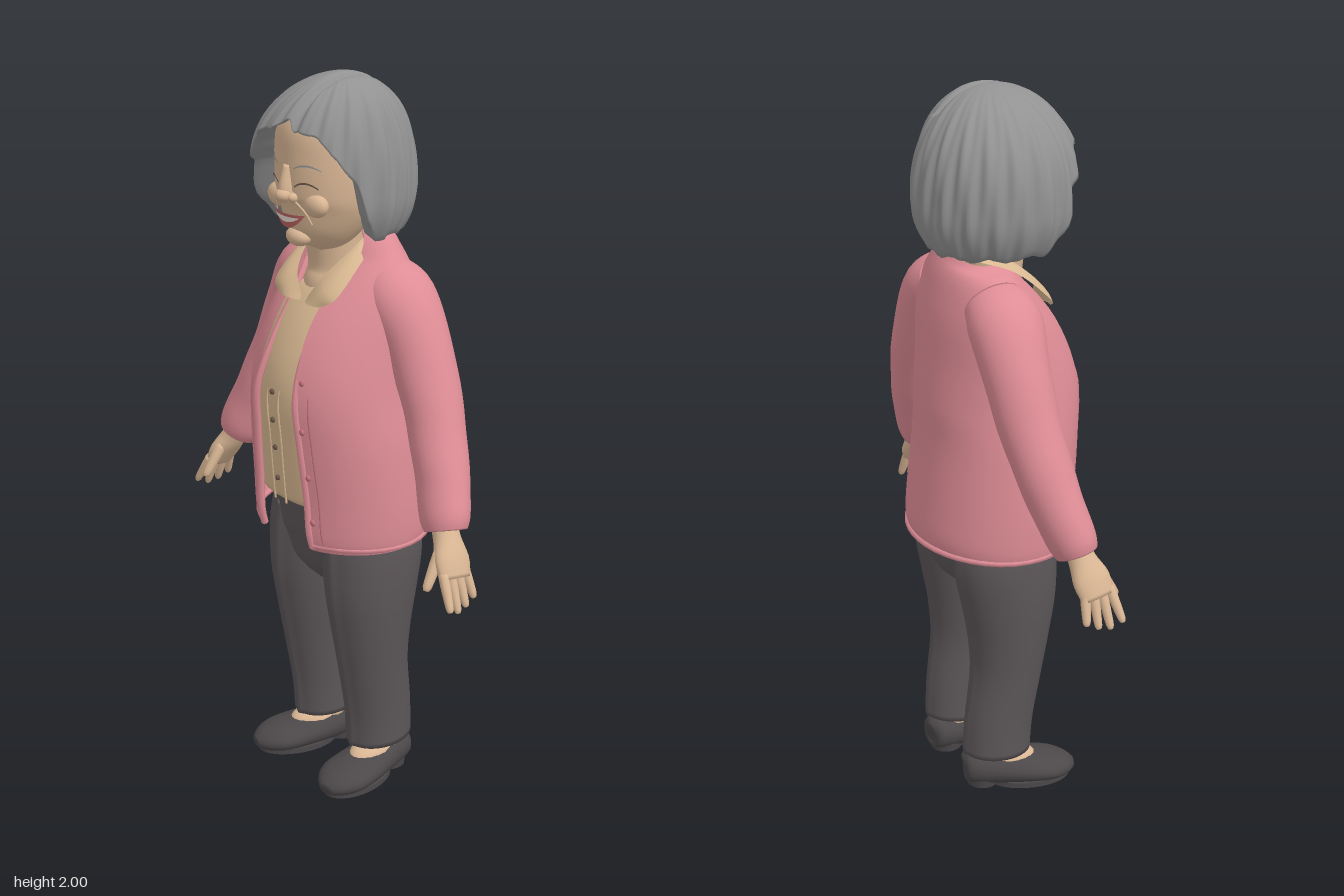
import * as THREE from 'three';
import { mergeVertices } from 'three/addons/utils/BufferGeometryUtils.js';

const mat = (name, color, double) => {
  const m = new THREE.MeshStandardMaterial({ color });
  m.name = name;
  if (double) m.side = THREE.DoubleSide;
  return m;
};

// Smoothly resample a table of rows to n+1 rows (Catmull-Rom in every column)
function resample(rows, n) {
  const last = rows.length - 1, out = [];
  for (let k = 0; k <= n; k++) {
    const f = (k / n) * last, i = Math.min(Math.floor(f), last - 1), t = f - i;
    const [a, b, c, d] = [i - 1, i, i + 1, i + 2].map(j => rows[Math.max(0, Math.min(last, j))]);
    out.push(b.map((_, q) => 0.5 * (2 * b[q] + (c[q] - a[q]) * t + (2 * a[q] - 5 * b[q] + 4 * c[q] - d[q]) * t * t
      + (3 * b[q] - a[q] - 3 * c[q] + d[q]) * t ** 3)));
  }
  return out;
}

// Linear lookup in a table sorted by column k
function lookup(rows, k, value) {
  let i = 0;
  while (i < rows.length - 2 && rows[i + 1][k] < value) i++;
  const a = rows[i], b = rows[i + 1];
  const t = THREE.MathUtils.clamp((value - a[k]) / (b[k] - a[k]), 0, 1);
  return a.map((q, j) => q + (b[j] - q) * t);
}

// Smooth surface from fn(u, v); faces outward when u runs right and v runs up
function grid(fn, nu, nv) {
  const pos = [], idx = [];
  for (let j = 0; j <= nv; j++) for (let i = 0; i <= nu; i++) pos.push(...fn(i / nu, j / nv, j));
  for (let j = 0; j < nv; j++) for (let i = 0; i < nu; i++) {
    const a = j * (nu + 1) + i, c = a + nu + 1;
    idx.push(a, a + 1, c + 1, a, c + 1, c);
  }
  let g = new THREE.BufferGeometry();
  g.setAttribute('position', new THREE.Float32BufferAttribute(pos, 3));
  g.setIndex(idx);
  g = mergeVertices(g, 1e-5);
  g.computeVertexNormals();
  return g;
}

// Elliptical loft through rows [x, y, z, sideRadius, frontRadius, frontGap]
function loft(rows, { nu = 32, nv = 24, cap = true, bump = () => 0 } = {}) {
  const d = resample(rows, nv);
  if (cap) {
    d.unshift([...d[0]]); d.push([...d[d.length - 1]]);
    for (const r of [d[0], d[d.length - 1]]) r[3] = r[4] = 0;
  }
  const n = d.length - 1;
  const frames = d.map((_, j) => {
    const a = d[Math.max(0, j - 2)], b = d[Math.min(n, j + 2)];
    const T = new THREE.Vector3(b[0] - a[0], b[1] - a[1], b[2] - a[2]).normalize();
    const U = new THREE.Vector3(T.y, -T.x, 0).normalize();
    return [U, new THREE.Vector3().crossVectors(U, T)];
  });
  return grid((u, v, j) => {
    const r = d[j], [U, W] = frames[j];
    const gap = r[5] ? Math.asin(Math.min(0.95, r[5] / r[3])) : 0;
    const th = r[5] ? gap + u * (2 * Math.PI - 2 * gap) : -Math.PI + 2 * Math.PI * u;
    const k = 1 + (r[3] ? bump(th, v) : 0), s = Math.sin(th) * r[3] * k, c = Math.cos(th) * r[4] * k;
    return [r[0] + U.x * s + W.x * c, r[1] + U.y * s + W.y * c, r[2] + U.z * s + W.z * c];
  }, nu, n);
}

export function createModel() {
  const model = new THREE.Group();
  const skin = mat('skin', 0xdab795), shirtM = mat('shirt beige', 0xd9b992, true), pink = mat('cardigan pink', 0xdf8d96, true);
  const deepPink = mat('seam pink', 0xc0707b), dark = mat('trouser grey', 0x5c5658), shoeM = mat('shoe charcoal', 0x4c484a);
  const hairM = mat('hair grey', 0x929292, true), lip = mat('lip red', 0xb8615f), white = mat('teeth white', 0xefe4d8), line = mat('line brown', 0x6b5548);
  const add = (name, geo, material, parent = model) => {
    const m = new THREE.Mesh(geo, material);
    m.name = name;
    parent.add(m);
    return m;
  };
  const tube = (pts, r) => new THREE.TubeGeometry(new THREE.CatmullRomCurve3(pts.map(p => new THREE.Vector3(...p))), 32, r, 6);
  const ball = (name, p, scale, material, parent) => {
    const m = add(name, new THREE.SphereGeometry(1, 20, 14), material, parent);
    m.position.set(...p); m.scale.set(...scale);
    return m;
  };

  // Cardigan body, open at the front
  const cx = 0.012;
  const jacket = [
    [cx, 0.76, -0.012, 0.262, 0.21, 0.105], [cx, 0.8, -0.01, 0.268, 0.217, 0.103], [cx, 0.9, -0.003, 0.268, 0.214, 0.1],
    [cx, 1.05, 0.01, 0.258, 0.213, 0.09], [cx, 1.18, 0.012, 0.238, 0.217, 0.08], [cx, 1.3, -0.01, 0.225, 0.193, 0.068],
    [cx, 1.42, -0.045, 0.215, 0.147, 0.072], [cx, 1.5, -0.06, 0.185, 0.108, 0.088], [cx, 1.55, -0.06, 0.135, 0.085, 0.095],
    [cx * 0.5, 1.58, -0.06, 0.1, 0.07, 0.08]];
  add('cardigan body', loft(jacket, { nu: 56, nv: 40, cap: false }), pink);
  const fine = resample(jacket, 60);
  const jacketZ = (x, y, table = fine) => {
    const r = lookup(table, 1, y);
    return r[2] + r[4] * Math.sqrt(Math.max(0, 1 - ((x - r[0]) / r[3]) ** 2));
  };
  for (const s of [1, -1]) {
    const edge = (o, lift) => jacket.slice(0, 8).map(r => [cx + s * (r[5] + o), r[1], jacketZ(cx + s * (r[5] + o), r[1]) + lift]);
    add('cardigan front edge', tube(edge(0, -0.002), 0.01), pink);
    add('cardigan placket seam', tube(edge(0.035, 0), 0.0025), deepPink);
  }
  const hem = [];
  for (let i = 0; i <= 16; i++) {
    const a = 0.42 + (i / 16) * (2 * Math.PI - 0.84);
    hem.push([cx + 0.261 * Math.sin(a), 0.768, -0.012 + 0.21 * Math.cos(a)]);
  }
  add('cardigan hem', tube(hem, 0.009), pink);
  for (const y of [0.84, 0.97, 1.1, 1.23, 1.34]) {
    const x = cx + lookup(fine, 1, y)[5] + 0.016;
    ball('cardigan button', [x, y, jacketZ(x, y) + 0.003], [0.009, 0.009, 0.006], deepPink);
  }

  // Shirt, buttons and button band
  const shirt = [[cx, 0.845, 0, 0.245, 0.19], ...jacket.slice(2, 7).map(r => [r[0], r[1], r[2], r[3] - 0.016, r[4] - 0.016]),
    [0, 1.47, -0.05, 0.12, 0.09]];
  add('shirt', loft(shirt, { nv: 30 }), shirtM);
  const shirtFine = resample(shirt, 50), onShirt = (x, y, o) => [x, y, jacketZ(x, y, shirtFine) + o];
  for (const x of [-0.03, 0.02]) add('shirt band seam', tube([0.86, 0.95, 1.05, 1.15, 1.25, 1.35, 1.41].map(y => onShirt(x, y, 0)), 0.003), shirtM);
  for (const y of [0.93, 1.02, 1.1, 1.18, 1.28, 1.37]) ball('shirt button', onShirt(-0.005, y, 0.003), [0.008, 0.008, 0.006], line);

  // Shirt collar: one flap per side, ruled between the neck edge and the outer edge
  for (const s of [1, -1]) {
    const curve = pts => new THREE.CatmullRomCurve3(pts.map(p => new THREE.Vector3(p[0] * s, p[1], p[2])));
    const inner = curve([[0.004, 1.41, 0.112], [0.05, 1.48, 0.09], [0.082, 1.56, 0.0], [0.06, 1.6, -0.08], [0, 1.605, -0.1]]);
    const outer = curve([[0.085, 1.415, 0.125], [0.122, 1.44, 0.108], [0.118, 1.535, 0.0], [0.085, 1.575, -0.105], [0, 1.58, -0.14]]);
    add('shirt collar', grid((u, v) => {
      const p = inner.getPoint(u).lerp(outer.getPoint(u), v);
      return [p.x, p.y, p.z + 0.012 * Math.sin(v * Math.PI)];
    }, 24, 6), shirtM);
  }

  // Sleeves, hands and fingers
  for (const s of [1, -1]) {
    const side = rows => rows.map(([x, ...rest]) => [x * s, ...rest]);
    const sleeve = side([[0.12, 1.465, -0.065, 0.07, 0.085], [0.18, 1.425, -0.065, 0.086, 0.1], [0.25, 1.31, -0.07, 0.085, 0.088],
      [0.325, 1.15, -0.06, 0.076, 0.08], [0.39, 1.0, -0.032, 0.074, 0.07], [0.428, 0.91, -0.008, 0.072, 0.063], [0.442, 0.875, 0, 0.06, 0.054]]);
    add('sleeve', loft(sleeve, { nv: 36, bump: (a, v) => 0.018 * Math.sin(v * 34 + 2 * Math.sin(a)) * Math.exp(-(((v - 0.55) / 0.16) ** 2)) }), pink);
    const hand = new THREE.Group();
    hand.name = 'hand';
    model.add(hand);
    add('palm', loft(side([[0.43, 0.905, 0, 0.033, 0.036], [0.455, 0.86, 0.008, 0.033, 0.038], [0.485, 0.815, 0.018, 0.029, 0.053],
      [0.51, 0.77, 0.026, 0.02, 0.048]]), { nu: 20, nv: 12 }), skin, hand);
    const finger = (name, a, b, r) => {
      const rows = [0, 0.3, 0.6, 0.9, 1].map((t, i) => [...a.map((q, k) => q + (b[k] - q) * t), r * [1, 1, 0.9, 0.75, 0.4][i], r * [1, 1, 0.9, 0.75, 0.4][i]]);
      add(name, loft(side(rows), { nu: 10, nv: 8 }), skin, hand);
    };
    for (let i = 0; i < 4; i++)
      finger('finger', [0.502, 0.79, 0.062 - 0.024 * i], [0.55 - 0.006 * i, 0.685 + 0.014 * Math.abs(i - 1.3), 0.078 - 0.033 * i], 0.0135);
    finger('thumb', [0.468, 0.835, 0.045], [0.478, 0.745, 0.1], 0.016);
  }

  // Trousers with pressed creases
  const hips = [[0.017, 0.6, -0.01, 0.06, 0.08], [0.017, 0.66, -0.012, 0.17, 0.135], [0.017, 0.75, -0.02, 0.235, 0.16], [0.017, 0.87, -0.01, 0.235, 0.165]];
  add('trouser hips', loft(hips), dark);
  const crease = a => 0.07 * (Math.exp(-((a / 0.12) ** 2)) + 0.6 * Math.exp(-(((Math.PI - Math.abs(a)) / 0.12) ** 2)));
  for (const s of [1, -1]) {
    const leg = [[0.116, 0.115, -0.045, 0.082, 0.1], [0.118, 0.22, -0.038, 0.084, 0.1], [0.12, 0.36, -0.018, 0.092, 0.103], [0.12, 0.48, -0.01, 0.104, 0.117],
      [0.119, 0.6, -0.01, 0.115, 0.137], [0.114, 0.72, -0.018, 0.122, 0.148], [0.1, 0.82, -0.015, 0.118, 0.14]].map(([x, ...r]) => [0.017 + s * x, ...r]);
    add('trouser leg', loft(leg, { nu: 64, nv: 28, bump: crease }), dark);

    // Shoe with a bare instep
    const foot = new THREE.Group();
    foot.name = 'foot';
    foot.position.set(s > 0 ? 0.145 : -0.108, 0, 0);
    foot.rotation.y = s > 0 ? 0.12 : -0.3;
    model.add(foot);
    const g = loft([[-0.14, 0.06, 0.022, 0.03], [-0.125, 0.06, 0.05, 0.052], [-0.05, 0.05, 0.062, 0.052], [0.04, 0.042, 0.076, 0.045],
      [0.11, 0.036, 0.076, 0.037], [0.155, 0.03, 0.052, 0.028], [0.18, 0.026, 0.022, 0.014]].map(([z, y, rx, ry]) => [0, z, -y, rx, ry]), { nu: 28 });
    g.rotateX(Math.PI / 2);
    add('shoe', g, shoeM, foot);
    add('shoe sole', new THREE.CylinderGeometry(0.07, 0.07, 0.016, 32).scale(1, 1, 1.7).translate(0, 0.008, 0.05), shoeM, foot);
    add('shoe heel', new THREE.CylinderGeometry(0.05, 0.045, 0.04, 24).translate(0, 0.02, -0.085), shoeM, foot);
    ball('instep', [0, 0.072, -0.015], [0.05, 0.037, 0.085], skin, foot);
    add('ankle', new THREE.CylinderGeometry(0.045, 0.045, 0.12, 20).translate(0, 0.13, -0.06), skin, foot);
  }

  // Neck and head
  add('neck', loft([[0, 1.38, -0.005, 0.085, 0.085], [0, 1.44, 0.002, 0.08, 0.088], [0, 1.5, 0, 0.072, 0.076], [0, 1.62, 0.015, 0.074, 0.078]]), skin);
  const head = [[0, 1.553, 0.085, 0.03, 0.04], [0, 1.57, 0.075, 0.065, 0.075], [0, 1.6, 0.06, 0.096, 0.096], [0, 1.65, 0.04, 0.125, 0.122],
    [0, 1.7, 0.03, 0.138, 0.134], [0, 1.78, 0.02, 0.142, 0.145], [0, 1.86, 0.01, 0.134, 0.148], [0, 1.93, 0, 0.1, 0.11], [0, 1.96, 0, 0.05, 0.06]];
  add('head', loft(head, { nu: 40, nv: 40 }), skin);
  const headFine = resample(head, 60), faceZ = (x, y) => jacketZ(x, y, headFine);

  // Thin facial details laid on the face: lower(t), upper(t) bound each patch, t from -1 to 1
  const patch = (name, x0, w, lower, upper, material, off) => add(name, grid((u, v) => {
    const t = 2 * u - 1, x = x0 + t * w, y = lower(t) + (upper(t) - lower(t)) * v;
    return [x, y, faceZ(x, y) + off];
  }, 20, 6), material);
  patch('lips', 0, 0.06, t => 1.618 + 0.04 * t * t, t => 1.655 + 0.004 * t * t, lip, 0.006);
  patch('teeth', 0, 0.044, t => 1.634 + 0.014 * t * t, t => 1.649 + 0.001 * t * t, white, 0.009);
  add('nose bridge', loft([[0, 1.69, 0.155, 0.02, 0.025], [0, 1.72, 0.157, 0.02, 0.03], [0, 1.78, 0.15, 0.013, 0.021]], { nu: 16, nv: 10 }), skin);
  ball('nose tip', [0, 1.705, 0.172], [0.022, 0.019, 0.025], skin);
  ball('chin', [0, 1.588, 0.125], [0.04, 0.026, 0.03], skin);
  for (const s of [1, -1]) {
    ball('nostril', [s * 0.022, 1.7, 0.16], [0.014, 0.013, 0.016], skin);
    ball('cheek', [s * 0.072, 1.685, faceZ(0.072, 1.685) - 0.016], [0.042, 0.032, 0.026], skin);
    patch('closed eye', s * 0.062, 0.03, t => 1.74 - 0.012 * t * t, t => 1.745 - 0.013 * t * t, line, 0.004);
    patch('eyebrow', s * 0.064, 0.034, t => 1.785 - 0.01 * t * t, t => 1.79 - 0.013 * t * t, hairM, 0.004);
    add('smile line', tube([[0.032, 1.69], [0.058, 1.665], [0.07, 1.635]].map(([x, y]) => [s * x, y, faceZ(x, y) + 0.001]), 0.003), skin);
  }

  // Bobbed hair: a strand-ridged shell whose hem rises over the face, with a parting on the left
  const hemLine = [[0, 1.9], [0.45, 1.87], [0.8, 1.82], [1.05, 1.75], [1.2, 1.645], [1.4, 1.593], [Math.PI, 1.585]];
  const nv = 40;
  add('hair', grid((u, v, j) => {
    const th = -Math.PI + 2 * Math.PI * u, away = Math.min(Math.PI, Math.abs(th - 0.16 * Math.cos(th / 2)));
    const low = lookup(hemLine, 0, away)[1] + 0.006 * Math.sin(th * 11);
    const lipIn = Math.max(0, 3 - j) / 3, w = Math.max(0, j - 3) / (nv - 3);
    const y = low + (2 - low) * Math.sin(w * Math.PI / 2) + 0.012 * lipIn;
    const k = Math.max(0, (y - 1.7) / 0.3);
    let f = y > 1.7 ? Math.sqrt(Math.max(0, 1 - k ** 2.4)) : 1 - 0.2 * ((1.7 - y) / 0.12) ** 2;
    const fall = Math.min(1, (1 - w) * 2.5);
    f *= 1 + fall * (0.018 * Math.sin(th * 19 + y * 9) + 0.013 * Math.sin(th * 37 - y * 14));
    f *= 1 - 0.28 * lipIn;
    const x = -0.008 + 0.035 * Math.max(0, k) ** 3 + 0.208 * f * Math.sin(th);
    const z = f * Math.cos(th) * (Math.cos(th) > 0 ? 0.228 : 0.215);
    const part = y > 1.86 && z > -0.14 ? 0.02 * Math.exp(-(((x - 0.045) / 0.012) ** 2)) : 0;
    return [x, y - part, z];
  }, 180, nv), hairM);

  return model;
}
